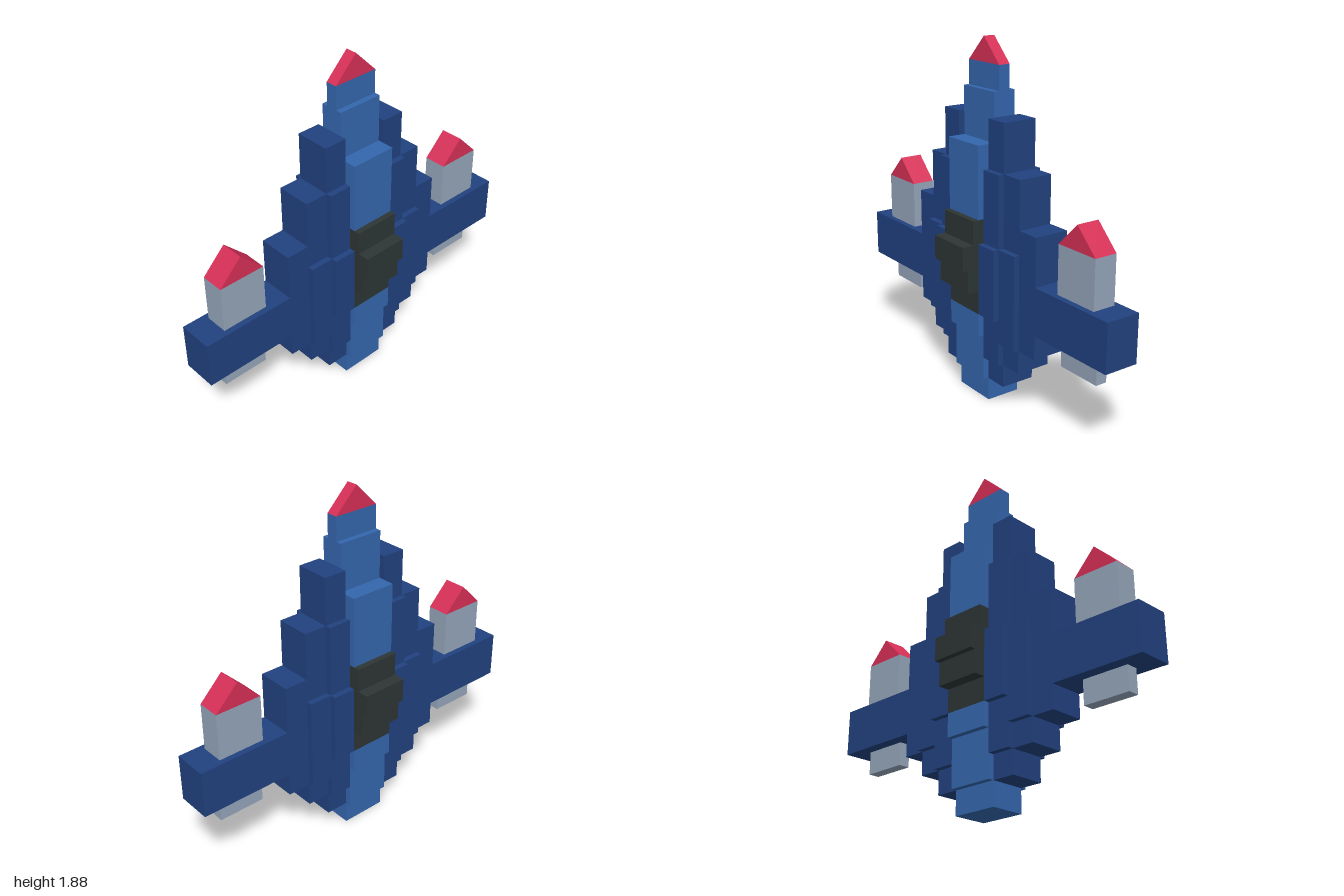
import * as THREE from 'three';

const U = 0.125; // one building block
const material = (name, color) => {
  const m = new THREE.MeshStandardMaterial({ color });
  m.name = name;
  return m;
};

export function createModel() {
  const model = new THREE.Group();
  model.name = 'blockSpaceship';
  const navy = material('navy', 0x21417f);
  const blue = material('blue', 0x3466ad);
  const grey = material('grey', 0x95a5ba);
  const red = material('red', 0xd62f56);
  const black = material('black', 0x2d3535);

  const add = (name, geometry, mat) => {
    const mesh = new THREE.Mesh(geometry, mat);
    mesh.name = name;
    model.add(mesh);
    return mesh;
  };
  // Box one spine wide, from y0 to y1 (in blocks), reaching z = +-halfDepth
  const block = (name, x, y0, y1, halfDepth, mat) =>
    add(name, new THREE.BoxGeometry(2 * U, (y1 - y0) * U, 2 * halfDepth), mat)
      .position.set(x, (y0 + y1) / 2 * U, 0);
  // Flat plate from an outline in blocks, centred on z = 0
  const plate = (name, points, side, halfDepth, mat) => {
    const shape = new THREE.Shape(points.map(([x, y]) => new THREE.Vector2(side * x * U, y * U)));
    const geometry = new THREE.ExtrudeGeometry(shape, { depth: 2 * halfDepth, bevelEnabled: false });
    return add(name, geometry.translate(0, 0, -halfDepth), mat);
  };
  // Gabled nose cap
  const cap = (name, x, y, halfDepth) =>
    plate(name, [[-1, 0], [1, 0], [0, 1]], 1, halfDepth, red).position.set(x, y * U, 0);

  // Central spine, stepped in depth
  [[0, 1, 0.094], [1, 3, 0.125], [3, 4, 0.156], [8, 11, 0.156], [11, 13, 0.0625], [13, 14, 0.031]]
    .forEach(([y0, y1, d]) => block('spine', 0, y0, y1, d, blue));
  cap('noseCap', 0, 14, 0.031);

  // Cockpit canopy, bulging to front and back
  [[4, 5, 0.156], [5, 6, 0.219], [6, 7, 0.25], [7, 8, 0.1875]]
    .forEach(([y0, y1, d]) => block('canopy', 0, y0, y1, d, black));

  for (const side of [1, -1]) {
    const label = side > 0 ? 'left' : 'right';
    // Stepped hull with its wing
    plate(label + 'HullAndWing', [
      [1, 1], [2, 1], [2, 2], [3, 2], [3, 3], [4, 3], [4, 4], [8, 4], [8, 6], [4, 6],
      [4, 8], [3, 8], [3, 10], [2, 10], [2, 12], [1, 12],
    ], side, 0.094, navy);
    // Raised armour layers
    plate(label + 'MiddleArmour', [
      [1, 2], [2, 2], [2, 3], [3, 3], [3, 7], [2, 7], [2, 10], [1, 10],
    ], side, 0.125, navy);
    plate(label + 'OuterArmour', [[1, 4], [2, 4], [2, 7], [1, 7]], side, 0.156, navy);

    // Wing engine: body above, thinner exhaust below
    block(label + 'Engine', side * 0.75, 6, 8, 0.0625, grey);
    block(label + 'Exhaust', side * 0.75, 3, 4, 0.031, grey);
    cap(label + 'EngineCap', side * 0.75, 8, 0.0625);
  }
  return model;
}
